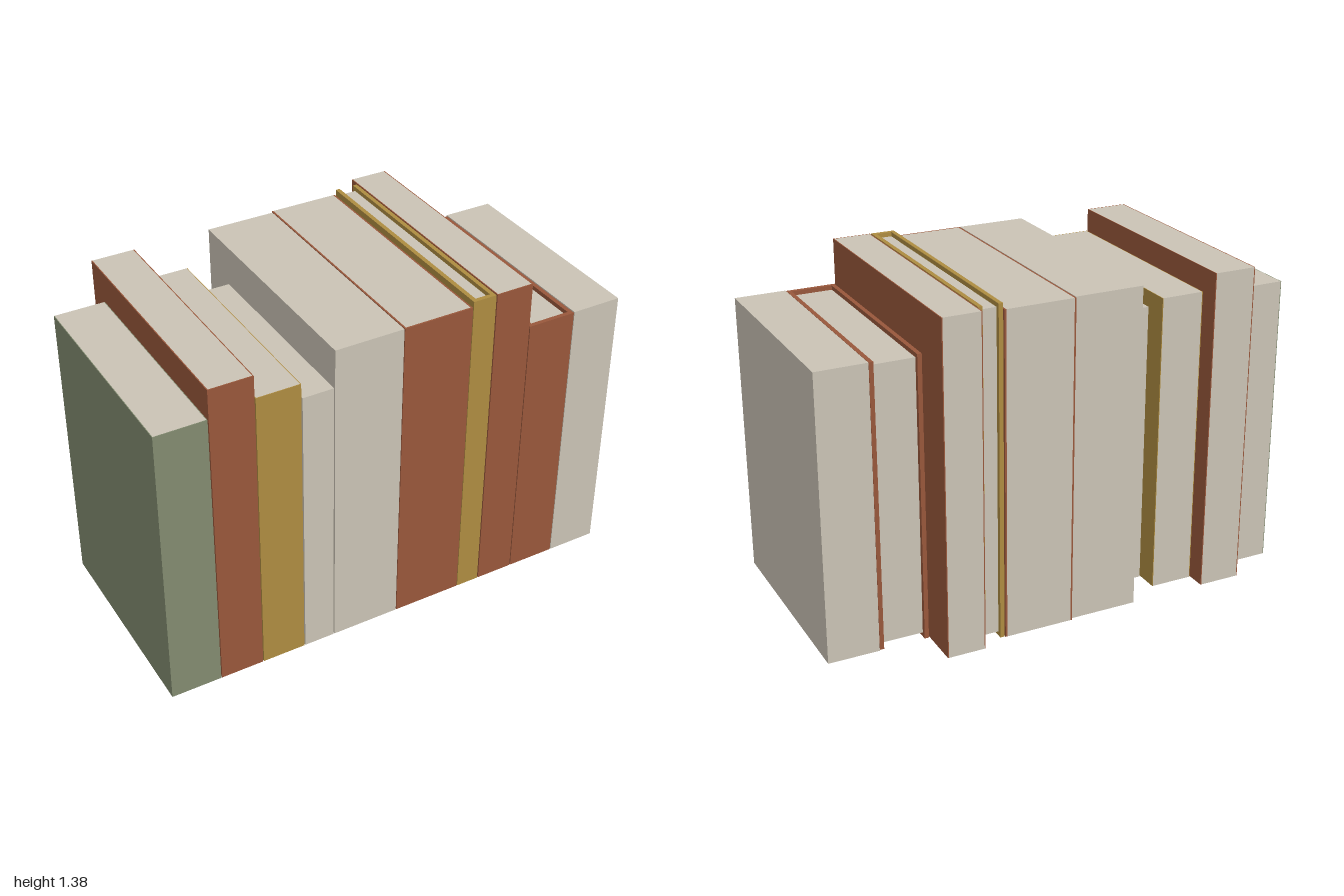
import * as THREE from 'three';

const FRONT = 0.538; // all spines line up on this plane

const material = (name, color) => {
  const m = new THREE.MeshStandardMaterial({ color });
  m.name = name;
  return m;
};

// U-shaped cover: two boards joined by the spine, open at the back
function coverGeometry(width, height, back, t) {
  const w = width / 2;
  const shape = new THREE.Shape([
    [-w, -FRONT], [w, -FRONT], [w, back], [w - t, back],
    [w - t, -FRONT + t], [-w + t, -FRONT + t], [-w + t, back], [-w, back],
  ].map(([x, y]) => new THREE.Vector2(x, y)));
  return new THREE.ExtrudeGeometry(shape, { depth: height, bevelEnabled: false })
    .rotateX(-Math.PI / 2);
}

// A book; inset is how far the page block sits inside the cover edges
function makeBook(x0, x1, height, back, coverMaterial, pageMaterial, t, inset) {
  const book = new THREE.Group();
  const width = x1 - x0;
  const cover = new THREE.Mesh(coverGeometry(width, height, back, t), coverMaterial);
  cover.name = 'cover';

  const pageFront = FRONT - t;
  const pageBack = -back + inset;
  const pages = new THREE.Mesh(
    new THREE.BoxGeometry(width - 2 * t, height - 2 * inset, pageFront - pageBack),
    pageMaterial,
  );
  pages.name = 'pages';
  pages.position.set(0, height / 2, (pageFront + pageBack) / 2);

  book.add(cover, pages);
  book.position.x = (x0 + x1) / 2;
  return book;
}

export function createModel() {
  const green = material('sage green', 0x828b70);
  const red = material('rust red', 0x98573b);
  const mustard = material('mustard', 0xae8c41);
  const cream = material('cream', 0xcac3b5);

  // left edge, right edge, height, back depth, cover, board thickness, page inset
  const books = [
    [-1.0, -0.79, 1.237, 0.366, green, 0.003, 0],
    [-0.786, -0.606, 1.36, 0.482, red, 0.004, 0],
    [-0.602, -0.42, 1.263, 0.402, mustard, 0.003, 0],
    [-0.415, -0.286, 1.2, 0.306, cream, 0.003, 0],
    [-0.281, 0.008, 1.36, 0.484, cream, 0.003, 0],
    [0.011, 0.306, 1.36, 0.495, red, 0.007, 0],
    [0.309, 0.409, 1.384, 0.49, mustard, 0.018, 0.018],
    [0.414, 0.574, 1.384, 0.538, red, 0.004, 0],
    [0.578, 0.785, 1.193, 0.364, red, 0.018, 0.018],
    [0.788, 1.0, 1.195, 0.37, cream, 0.003, 0],
  ];

  const model = new THREE.Group();
  model.name = 'bookRow';
  books.forEach(([x0, x1, height, back, cover, t, inset], i) => {
    const book = makeBook(x0, x1, height, back, cover, cream, t, inset);
    book.name = `${inset ? 'hardback' : 'paperback'}${i + 1}`;
    model.add(book);
  });
  return model;
}
